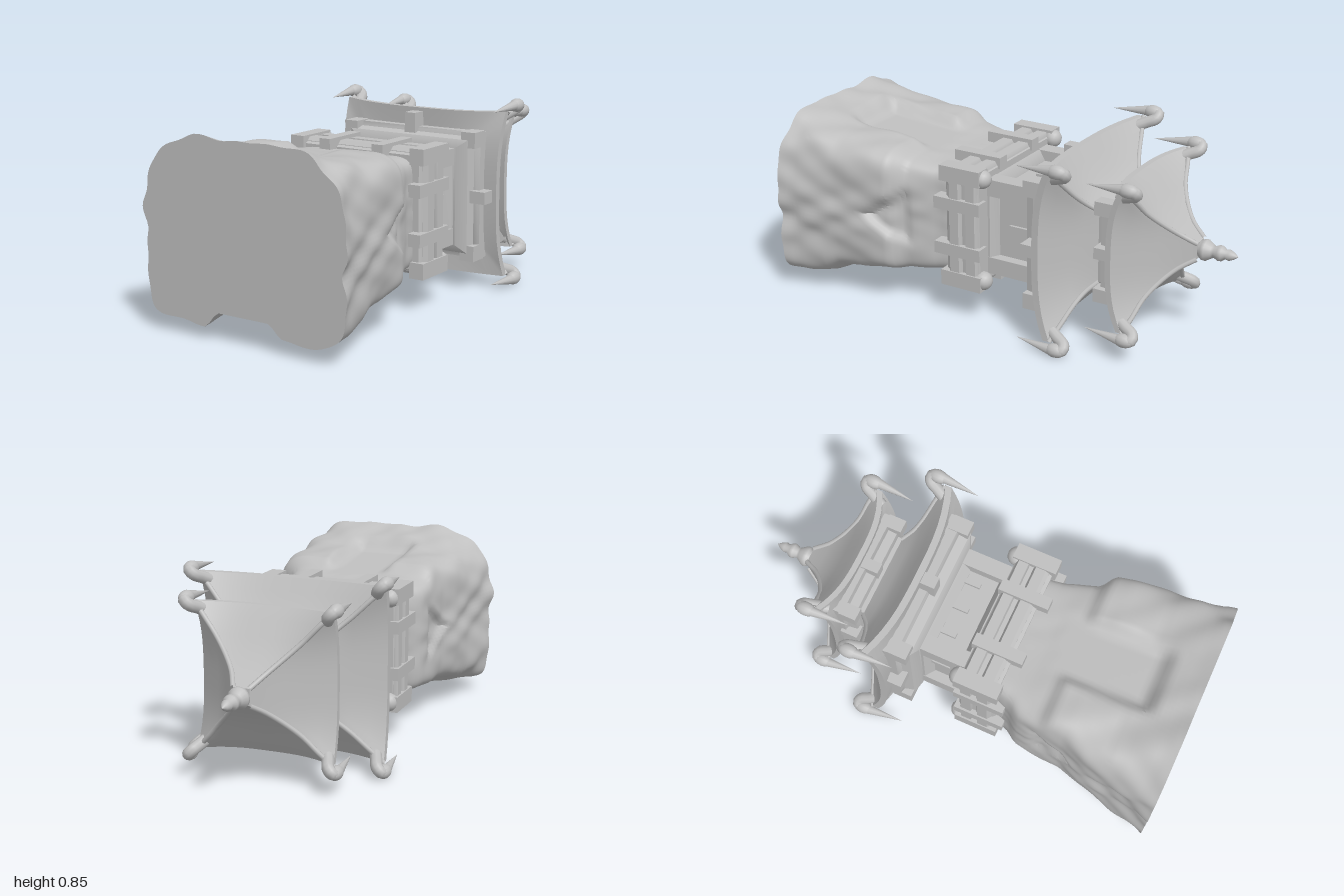
import * as THREE from 'three';
import { toCreasedNormals } from 'three/addons/utils/BufferGeometryUtils.js';

const stone = new THREE.MeshStandardMaterial({ color: 0xbfbfbf });
stone.name = 'stone grey';
const { lerp, smoothstep } = THREE.MathUtils;

// Skin a list of rings (each a loop of [x, y, z], turning from +x to +z), with end caps
function loft(rings, crease = 0.6) {
  const n = rings[0].length, pos = rings.flat(2), idx = [];
  for (let r = 0; r < rings.length - 1; r++) {
    for (let i = 0; i < n; i++) {
      const a = r * n + i, b = r * n + (i + 1) % n, c = a + n, d = b + n;
      idx.push(a, c, b, b, c, d);
    }
  }
  [0, rings.length - 1].forEach((r, top) => {
    const mid = [0, 1, 2].map(k => rings[r].reduce((s, p) => s + p[k], 0) / n);
    const m = pos.length / 3;
    pos.push(...mid);
    for (let i = 0; i < n; i++) {
      const a = r * n + i, b = r * n + (i + 1) % n;
      if (top) idx.push(m, b, a); else idx.push(m, a, b);
    }
  });
  const g = new THREE.BufferGeometry();
  g.setAttribute('position', new THREE.Float32BufferAttribute(pos, 3));
  g.setIndex(idx);
  return toCreasedNormals(g, crease);
}

// Interpolate a table of rows keyed by their first number
function sample(table, t) {
  let i = 1;
  while (i < table.length - 1 && table[i][0] < t) i++;
  const a = table[i - 1], b = table[i], k = (t - a[0]) / (b[0] - a[0]);
  return a.map((v, j) => v + (b[j] - v) * k);
}

// Even steps around a square from -1 to 1: [x, z, position along the side]
const squareLoop = n => [[1, 0], [0, 1], [-1, 0], [0, -1]].flatMap(([cx, cz]) =>
  Array.from({ length: n }, (_, i) => {
    const u = i / n * 2 - 1;
    return [cx - cz * u, cz + cx * u, u];
  }));

export function createModel() {
  const model = new THREE.Group();
  // The tower is built upright, then laid on its back
  const tower = new THREE.Group();
  tower.name = 'tower';
  tower.rotation.x = -Math.PI / 2;
  tower.position.set(0, 0.425, 1);
  model.add(tower);

  const add = (name, geo, x = 0, y = 0, z = 0) => {
    const m = new THREE.Mesh(geo, stone);
    m.name = name;
    m.position.set(x, y, z);
    tower.add(m);
    return m;
  };
  const box = (name, w, h, d, x, y, z) => add(name, new THREE.BoxGeometry(w, h, d), x, y, z);
  // Tapered block from rows of [height, half width, half depth]
  const block = (name, rows) => add(name, loft(rows.map(([h, x, z]) =>
    [[x, h, -z], [x, h, z], [-x, h, z], [-x, h, -z]])));
  const corners = fn => [-1, 1].forEach(sx => [-1, 1].forEach(sz => fn(sx, sz)));

  // Rocky base: height, left (+x) and right half widths, front depth, back depth
  const profile = [
    [0, 0.49, 0.49, 0.372, 0.392], [0.06, 0.47, 0.47, 0.362, 0.372], [0.2, 0.447, 0.438, 0.345, 0.335],
    [0.26, 0.437, 0.43, 0.31, 0.322], [0.34, 0.43, 0.415, 0.288, 0.316], [0.44, 0.415, 0.382, 0.282, 0.312],
    [0.53, 0.4, 0.375, 0.276, 0.3], [0.57, 0.345, 0.37, 0.27, 0.26], [0.67, 0.31, 0.355, 0.262, 0.243],
    [0.72, 0.29, 0.32, 0.258, 0.239], [0.82, 0.275, 0.285, 0.25, 0.233]];
  const loop = squareLoop(40), rings = [];
  for (let r = 0; r <= 41; r++) {
    const h = r * 0.02, [, hl, hr, zf, zb] = sample(profile, h);
    rings.push(loop.map(([dx, dz]) => {
      // Rounded-square outline, squarer towards the top
      const n = lerp(dz < 0 ? 6 : 3.6, 9, h / 0.82);
      const a = Math.atan2(dz, dx);
      const bump = 1 + (1 - h) * (0.014 * Math.sin(7 * a + 9 * h) + 0.012 * Math.sin(13 * a - 21 * h + 1)
        + 0.012 * Math.sin(19 * a + 2) * Math.sin(26 * h + 1));
      const k = bump * (Math.abs(dx) ** n + Math.abs(dz) ** n) ** (-1 / n);
      let x = dx * k * (dx > 0 ? hl : hr), z = dz * k * (dz < 0 ? zf : zb);
      const ax = Math.abs(x);
      // Smooth wall between the back rocks
      if (z > 0.2) {
        const wall = Math.min(z, 0.3 - h * 0.08);
        z = lerp(z, wall, (1 - smoothstep(ax, 0.11, 0.17)) * smoothstep(h, 0.14, 0.22));
      }
      // Front wall set back between the front rocks
      if (z < -0.22) {
        const wall = h < 0.05 ? -0.305 : -0.285 + h * 0.07;
        z = lerp(z, Math.max(z, wall), 1 - smoothstep(ax, 0.12, 0.2 - h * 0.04));
      }
      // Wall showing in a wedge between the side rocks
      if (ax > 0.28) {
        const open = (h - 0.42) * 0.7;
        x -= Math.sign(x) * 0.03 * (1 - smoothstep(Math.abs(z), open - 0.02, open + 0.03))
          * (1 - smoothstep(h, 0.54, 0.62));
      }
      return [x, h, z];
    }));
  }
  add('rockBase', loft(rings, 0.75));

  // Doorway frame on the sloping front wall
  const door = new THREE.Group();
  door.name = 'doorway';
  door.position.set(0, 0.4, -0.272);
  door.rotation.x = 0.09;
  tower.add(door);
  const frame = (name, w, h, d, x, y) => {
    const m = box(name, w, h, d, x, y, 0);
    door.add(m);
  };
  [-1, 1].forEach(s => frame('doorJamb', 0.04, 0.62, 0.04, s * 0.115, 0.02));
  frame('doorLintel', 0.27, 0.045, 0.046, 0, 0.26);
  frame('doorSill', 0.2, 0.05, 0.04, 0, -0.26);
  frame('doorPanel', 0.1, 0.34, 0.03, 0, -0.02);

  // Balcony: two bands around a shallow channel
  block('balconyWall', [[0.78, 0.31, 0.245], [0.8, 0.322, 0.255], [0.94, 0.322, 0.255], [0.95, 0.315, 0.245]]);
  block('balconyFloor', [[0.795, 0.32, 0.255], [0.81, 0.338, 0.27], [0.855, 0.338, 0.27], [0.865, 0.322, 0.255]]);
  block('balconyRail', [[0.885, 0.322, 0.255], [0.89, 0.335, 0.268], [0.935, 0.335, 0.268], [0.945, 0.32, 0.25]]);
  corners((sx, sz) => {
    box('balconyPost', 0.07, 0.2, 0.07, sx * 0.308, 0.865, sz * 0.243);
    add('postKnob', new THREE.SphereGeometry(0.042, 14, 10), sx * 0.3, 0.955, sz * 0.235);
    box('balconyBracket', 0.055, 0.23, 0.05, sx * 0.135, 0.845, sz * 0.26);
    box('balconyBracket', 0.06, 0.23, 0.055, sx * 0.315, 0.85, sz * 0.105);
  });

  // Watch room: recessed walls, corner pillars and slit windows
  block('roomWall', [[0.92, 0.207, 0.17], [1.22, 0.207, 0.17]]);
  corners((sx, sz) => box('roomPillar', 0.075, 0.28, 0.075, sx * 0.215, 1.06, sz * 0.18));
  block('roomSill', [[0.92, 0.25, 0.215], [0.96, 0.25, 0.215], [0.985, 0.209, 0.172]]);
  block('roomLintel', [[1.12, 0.209, 0.172], [1.15, 0.25, 0.215], [1.2, 0.25, 0.215]]);
  [-1, 1].forEach(s => {
    [-0.125, 0, 0.125].forEach(x => box('windowSlit', 0.022, 0.07, 0.018, x, 1.085, s * 0.174));
    box('windowSlit', 0.018, 0.09, 0.022, s * 0.211, 1.085, 0);
  });

  // Stepped bracket tiers under both roofs
  block('lowerEaveTier', [[1.16, 0.26, 0.22], [1.18, 0.31, 0.255], [1.22, 0.32, 0.265],
    [1.23, 0.345, 0.285], [1.29, 0.345, 0.285]]);
  block('upperEaveTier', [[1.42, 0.19, 0.155], [1.48, 0.2, 0.16], [1.485, 0.225, 0.19],
    [1.525, 0.23, 0.195], [1.53, 0.25, 0.225], [1.58, 0.25, 0.225]]);
  [-1, 1].forEach(s => {
    box('eaveBeam', 0.055, 0.1, 0.09, 0, 1.245, s * 0.305);
    box('eaveBeam', 0.09, 0.1, 0.055, s * 0.345, 1.245, 0);
    box('eaveBeam', 0.05, 0.08, 0.06, 0, 1.51, s * 0.205);
    box('eaveBeam', 0.06, 0.08, 0.05, s * 0.235, 1.51, 0);
  });
  corners((sx, sz) => {
    box('cornerBracket', 0.07, 0.09, 0.07, sx * 0.31, 1.225, sz * 0.255);
    box('cornerBracket', 0.06, 0.08, 0.06, sx * 0.225, 1.505, sz * 0.195);
  });

  // Hipped roof with lifted corners; rows are [height, half width, half depth, corner lift]
  const roof = (name, rows) => {
    add(name, loft(rows.map(([h, hx, hz, lift]) => squareLoop(14).map(([dx, dz, u]) => {
      const k = Math.abs(u) ** 3, out = 1 + lift * 0.35 * (k - 0.5);
      return [dx * hx * out, h + lift * k, dz * hz * out];
    })), 0.7));
    // Hip ridges along the four corners
    corners((sx, sz) => {
      const pts = rows.slice(2).map(([h, hx, hz, l]) =>
        new THREE.Vector3(sx * hx * (1 + l * 0.17), h + l, sz * hz * (1 + l * 0.17)));
      add('hipRidge', new THREE.TubeGeometry(new THREE.CatmullRomCurve3(pts), 16, 0.011, 8));
    });
  };
  roof('lowerRoof', [[1.27, 0.3, 0.24, 0], [1.26, 0.415, 0.37, 0.06], [1.29, 0.415, 0.37, 0.06],
    [1.325, 0.36, 0.315, 0.045], [1.37, 0.29, 0.245, 0.025], [1.41, 0.24, 0.2, 0.01], [1.46, 0.195, 0.16, 0]]);
  roof('upperRoof', [[1.56, 0.22, 0.2, 0], [1.54, 0.3, 0.31, 0.06], [1.565, 0.3, 0.31, 0.06],
    [1.605, 0.25, 0.26, 0.04], [1.65, 0.19, 0.195, 0.015], [1.7, 0.13, 0.135, 0.005],
    [1.76, 0.075, 0.08, 0], [1.83, 0.035, 0.035, 0]]);

  // Hooked horn with a drooping tail at each roof corner
  const horn = (x, y, z) => corners((sx, sz) => {
    const v = (out, up) => new THREE.Vector3(sx * (x + out), y + up, sz * (z + out));
    const hook = new THREE.CatmullRomCurve3([v(-0.04, -0.02), v(-0.018, 0.03), v(0, 0.07), v(0.018, 0.072), v(0.024, 0.03)]);
    add('roofHorn', new THREE.TubeGeometry(hook, 16, 0.026, 10));
    const knob = add('hornKnob', new THREE.SphereGeometry(0.03, 14, 10));
    knob.position.copy(v(0.022, 0.045));
    knob.scale.y = 1.5;
    // Tail: a cone pointing down
    const from = v(0.024, 0.03), dir = v(0.012, -0.15).sub(from);
    const tail = add('hornTail', new THREE.ConeGeometry(0.024, dir.length(), 10));
    tail.position.copy(from).addScaledVector(dir, 0.5);
    tail.quaternion.setFromUnitVectors(new THREE.Vector3(0, 1, 0), dir.normalize());
  });
  horn(0.413, 1.345, 0.373);
  horn(0.302, 1.605, 0.308);

  // Beaded finial
  const beads = [[0.05, 1.78], [0.036, 1.815], [0.03, 1.825], [0.045, 1.845], [0.046, 1.86], [0.03, 1.885],
    [0.024, 1.895], [0.034, 1.915], [0.032, 1.93], [0.02, 1.945], [0.024, 1.96], [0.015, 1.98], [0, 2]];
  add('finial', new THREE.LatheGeometry(beads.map(([r, h]) => new THREE.Vector2(r, h)), 20));

  return model;
}
